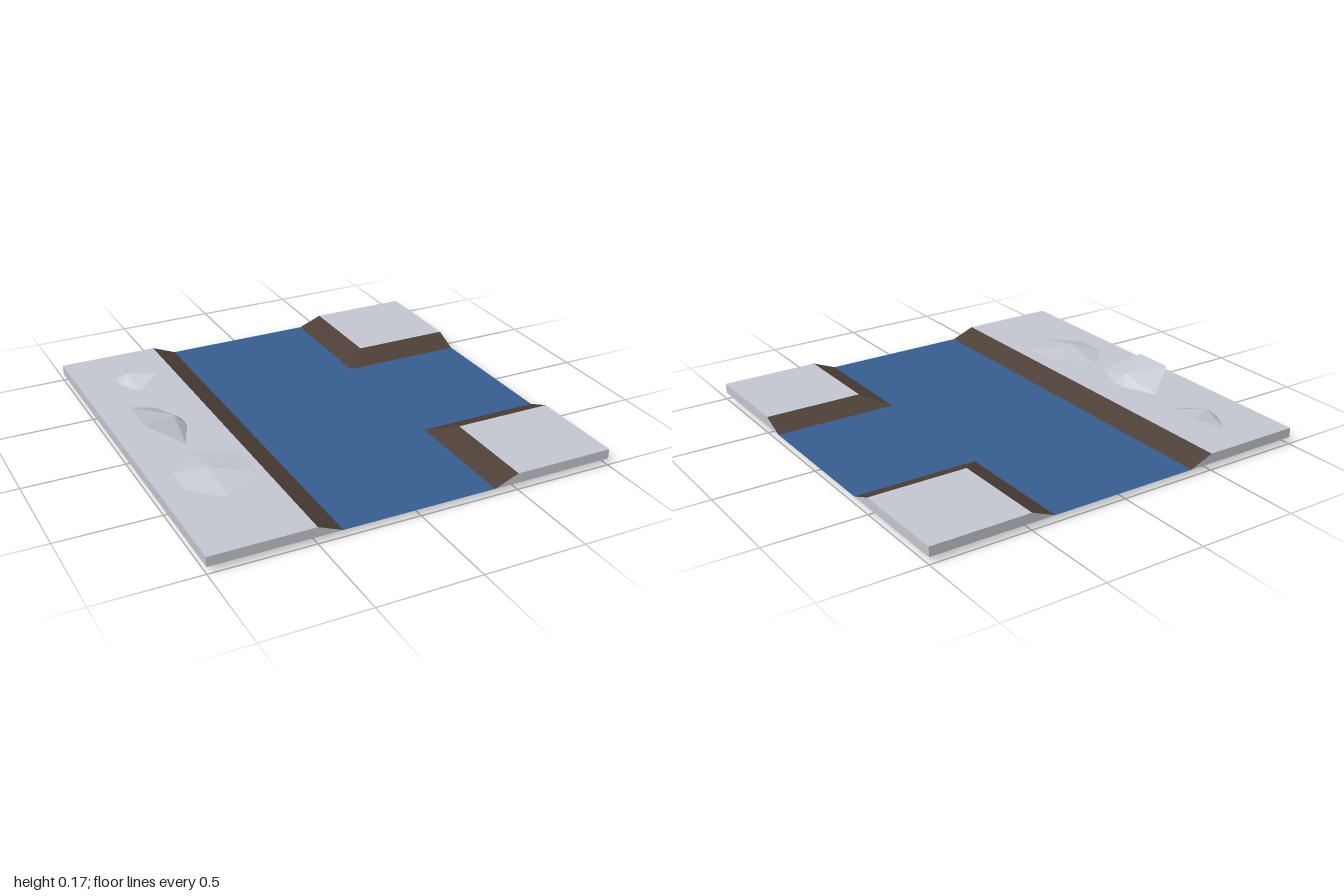
import * as THREE from 'three';

const TOP = 0.083, WATER = 0.035, IN = 0.38, OUT = 0.5;

const mat = (name, color) => new THREE.MeshStandardMaterial({
  name, color, side: THREE.DoubleSide, flatShading: true,
});

// Convex polygons (counter-clockwise from outside) joined into one flat-faced mesh
function polygons(name, material, faces) {
  const pos = [];
  for (const f of faces)
    for (let i = 1; i < f.length - 1; i++) pos.push(...f[0], ...f[i], ...f[i + 1]);
  const geo = new THREE.BufferGeometry();
  geo.setAttribute('position', new THREE.Float32BufferAttribute(pos, 3));
  geo.computeVertexNormals();
  const mesh = new THREE.Mesh(geo, material);
  mesh.name = name;
  return mesh;
}

// Level rectangle facing up
const level = (x0, x1, z0, z1, y) => [[x0, y, z1], [x1, y, z1], [x1, y, z0], [x0, y, z0]];

export function createModel() {
  const snow = mat('snow', 0xc6c9d2);
  const earth = mat('earth', 0x4e4038);
  const water = mat('water', 0x375f92);
  const model = new THREE.Group();
  model.name = 'riverTile';

  // River with a side branch
  model.add(polygons('river', water, [
    level(-IN, IN, -1, 1, WATER),
    level(IN, 1, -IN, IN, WATER),
  ]));

  // Long bank on the right
  model.add(polygons('longBankTop', snow, [level(-1, -OUT, -1, 1, TOP)]));
  model.add(polygons('longBankSlope', earth, [
    [[-OUT, TOP, 1], [-IN, WATER, 1], [-IN, WATER, -1], [-OUT, TOP, -1]],
  ]));
  model.add(polygons('longBankSkirt', snow, [
    [[-1, WATER, 1], [-IN, WATER, 1], [-OUT, TOP, 1], [-1, TOP, 1]],
    [[-IN, WATER, -1], [-1, WATER, -1], [-1, TOP, -1], [-OUT, TOP, -1]],
    [[-1, WATER, -1], [-1, WATER, 1], [-1, TOP, 1], [-1, TOP, -1]],
  ]));

  // Two mirrored corner banks on the left
  for (const s of [1, -1]) {
    const side = s > 0 ? 'front' : 'back';
    // Reverse the corner order when mirrored
    const m = (f) => {
      const g = f.map(([x, y, z]) => [x, y, z * s]);
      return s > 0 ? g : g.reverse();
    };
    model.add(polygons(side + 'BankTop', snow, [m(level(OUT, 1, OUT, 1, TOP))]));
    model.add(polygons(side + 'BankSlope', earth, [
      m([[IN, WATER, IN], [IN, WATER, 1], [OUT, TOP, 1], [OUT, TOP, OUT]]),
      m([[1, WATER, IN], [IN, WATER, IN], [OUT, TOP, OUT], [1, TOP, OUT]]),
    ]));
    model.add(polygons(side + 'BankSkirt', snow, [
      m([[IN, WATER, 1], [1, WATER, 1], [1, TOP, 1], [OUT, TOP, 1]]),
      m([[1, WATER, 1], [1, WATER, IN], [1, TOP, OUT], [1, TOP, 1]]),
    ]));
  }

  // Tilted six-sided snow mounds, open underneath: x, y, z, radius, height, tilt
  const mounds = [
    [-0.74, 0.08, -0.68, 0.15, 0.048, 0.39],
    [-0.732, 0.083, -0.127, 0.207, 0.055, -0.48],
    [-0.74, 0.085, 0.39, 0.22, 0.036, 0.08],
  ];
  mounds.forEach(([x, y, z, r, h, tilt], i) => {
    const geo = new THREE.ConeGeometry(r, h, 6, 1, true);
    geo.translate(0, h / 2, 0);
    const mound = new THREE.Mesh(geo, snow);
    mound.name = 'snowMound' + (i + 1);
    mound.position.set(x, y, z);
    mound.rotation.z = tilt;
    model.add(mound);
  });

  return model;
}
